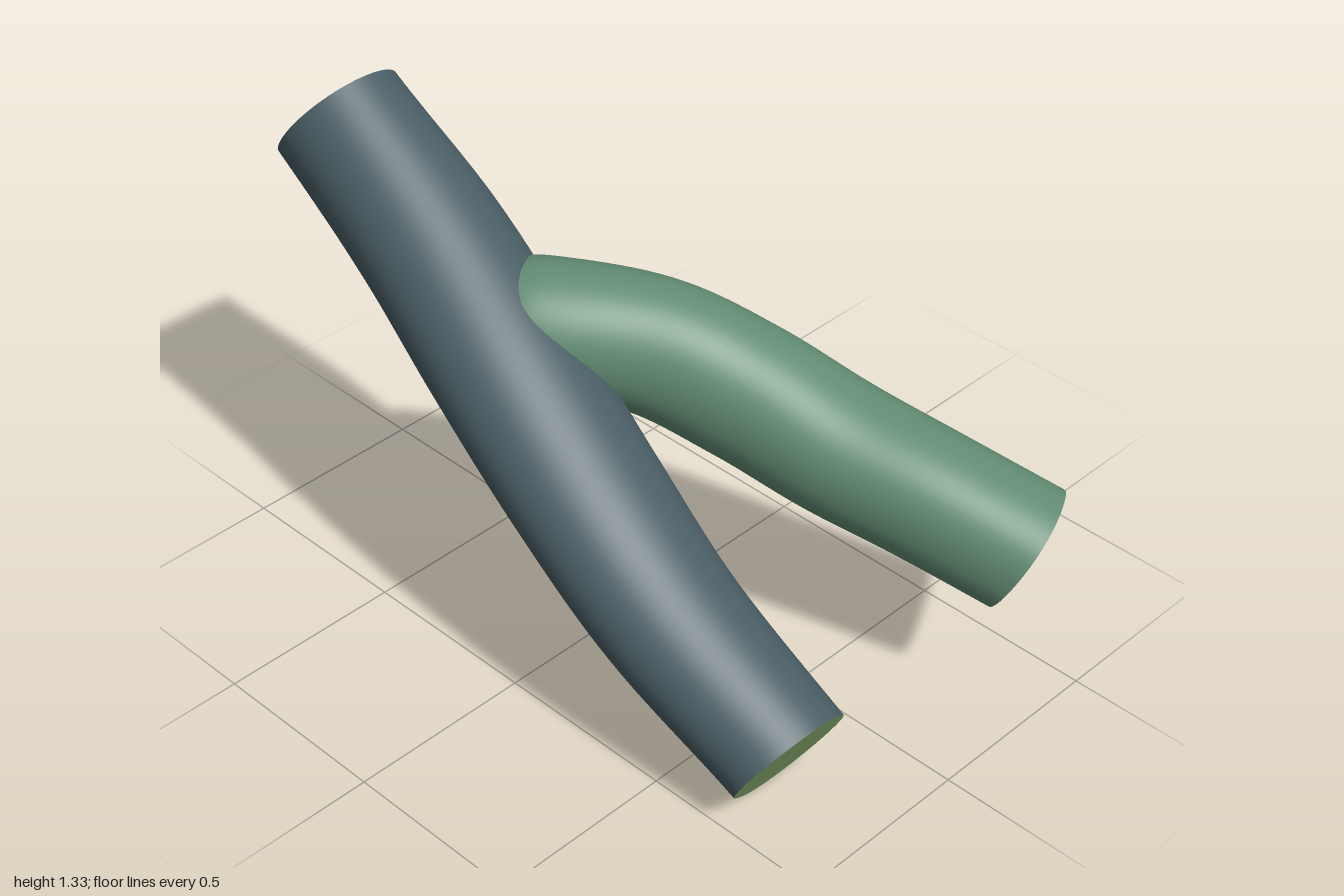
import * as THREE from 'three';

const V = (x, y, z) => new THREE.Vector3(x, y, z);
const RINGS = 64, SIDES = 56;

function surface(points, index, color, name) {
  const geo = new THREE.BufferGeometry().setFromPoints(points);
  geo.setIndex(index);
  geo.computeVertexNormals();
  const mesh = new THREE.Mesh(geo, new THREE.MeshStandardMaterial({ color, side: THREE.DoubleSide }));
  mesh.name = name;
  return mesh;
}

// Flat fan closing a ring of points
function cap(ring, flip, color, name) {
  const center = ring.reduce((sum, p) => sum.add(p), V(0, 0, 0)).divideScalar(ring.length);
  const index = [];
  for (let j = 0; j < SIDES; j++) {
    const k = (j + 1) % SIDES;
    index.push(SIDES, flip ? k : j, flip ? j : k);
  }
  return surface([...ring, center], index, color, name);
}

// Cross-sections along a spline. Each station is [x, y, z, width radius, height radius].
// Near an end the section plane turns towards the given cut normal.
// The section grows squarer towards the end; dent flattens one lower side near the start.
function vesselRings(stations, { startCut, endCut, squareness = 0, dent = 0 }) {
  const path = new THREE.CatmullRomCurve3(stations.map(s => V(s[0], s[1], s[2])));
  const radii = new THREE.SplineCurve(stations.map(s => new THREE.Vector2(s[3], s[4])));
  const rings = [];
  for (let i = 0; i <= RINGS; i++) {
    const t = i / RINGS;
    const c = path.getPoint(t), r = radii.getPoint(t), n = path.getTangent(t);
    if (startCut) n.lerp(startCut, 1 - THREE.MathUtils.smoothstep(t, 0, 0.25));
    if (endCut) n.lerp(endCut, THREE.MathUtils.smoothstep(t, 0.75, 1));
    n.normalize();
    const side = V(0, 1, 0).cross(n).normalize();
    const up = n.clone().cross(side);
    const power = 1 - squareness * t;
    const bend = v => Math.sign(v) * Math.abs(v) ** power;
    const ring = [];
    for (let j = 0; j < SIDES; j++) {
      const a = j / SIDES * Math.PI * 2;
      const k = 1 - dent * (1 - t) * Math.max(0, Math.cos(a + Math.PI / 4)) ** 4;
      ring.push(c.clone()
        .addScaledVector(side, k * r.x * bend(Math.cos(a)))
        .addScaledVector(up, k * r.y * bend(Math.sin(a))));
    }
    rings.push(ring);
  }
  return rings;
}

function wall(rings, color, name) {
  const index = [];
  for (let i = 0; i < RINGS; i++) {
    for (let j = 0; j < SIDES; j++) {
      const k = (j + 1) % SIDES, a = i * SIDES, b = a + SIDES;
      index.push(a + j, a + k, b + k, a + j, b + k, b + j);
    }
  }
  return surface(rings.flat(), index, color, name);
}

export function createModel() {
  const model = new THREE.Group();
  model.name = 'branchingVessel';

  // Main vessel, from the low front end to the high back end
  const trunk = vesselRings([
    [-0.335, 0.143, 0.77, 0.176, 0.166],
    [-0.343, 0.352, 0.385, 0.194, 0.172],
    [-0.322, 0.55, 0.085, 0.205, 0.172],
    [-0.286, 0.75, -0.215, 0.206, 0.177],
    [-0.242, 0.955, -0.535, 0.197, 0.184],
    [-0.231, 1.182, -0.89, 0.174, 0.184],
  ], { startCut: V(0.02, 0.49, -0.87), endCut: V(0.02, 0.6, -0.8), dent: 0.15 });
  model.add(wall(trunk, 0x4a5e65, 'mainVesselWall'));
  model.add(cap(trunk[0], true, 0x84a468, 'mainVesselFrontCap'));
  model.add(cap(trunk[RINGS], false, 0xe07a7a, 'mainVesselBackCap'));

  // Side branch, rooted inside the main vessel and curving forward
  const branch = vesselRings([
    [-0.245, 0.845, -0.37, 0.14, 0.13],
    [-0.165, 0.825, -0.25, 0.168, 0.165],
    [0.025, 0.767, -0.02, 0.165, 0.178],
    [0.135, 0.68, 0.18, 0.168, 0.18],
    [0.222, 0.585, 0.415, 0.173, 0.17],
    [0.292, 0.525, 0.63, 0.166, 0.165],
    [0.385, 0.44, 0.89, 0.165, 0.163],
  ], { endCut: V(0.5, -0.6, 1).normalize(), squareness: 0.1 });
  model.add(wall(branch, 0x628c73, 'branchVesselWall'));
  model.add(cap(branch[RINGS], false, 0xb8a468, 'branchVesselFrontCap'));

  return model;
}
